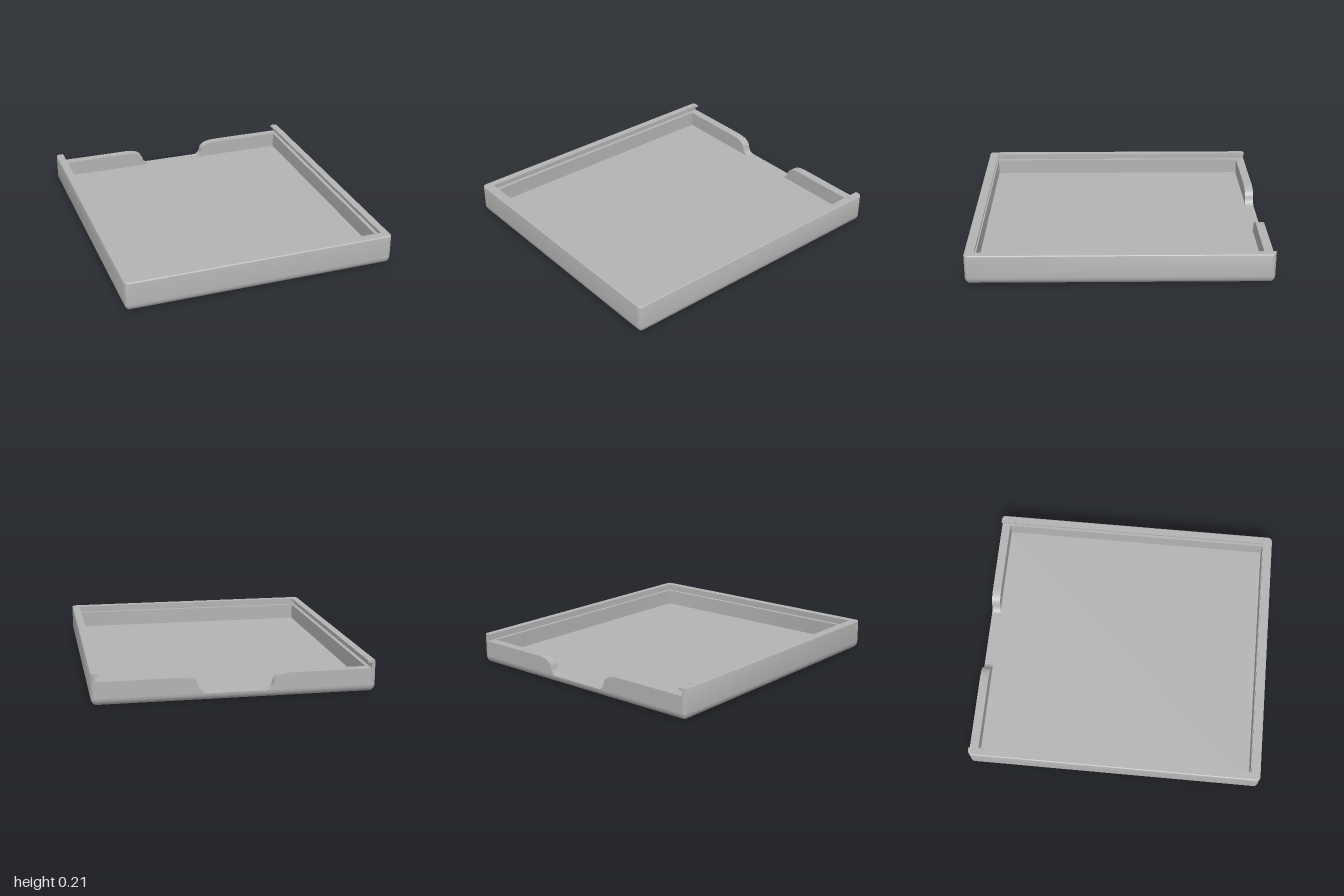
import * as THREE from 'three';
import { toCreasedNormals } from 'three/addons/utils/BufferGeometryUtils.js';

const HX = 0.915, HZ = 1, R = 0.03;          // outer half sizes, vertical corner radius
const FLOOR = 0.05, LEDGE = 0.16, LIP = 0.195, TOP = 0.21;
const WALL = 0.055, SLOT = 0.03, FRONT = 1.18; // front wall is slightly thicker
const STEPS = 6;

// Quarter arc in plan, starting at quadrant q (0 is the +x to +z corner)
function corner(cx, cz, r, q) {
  return Array.from({ length: STEPS + 1 }, (_, k) => {
    const t = (q + k / STEPS) * Math.PI / 2;
    return [cx + r * Math.cos(t), cz + r * Math.sin(t)];
  });
}

// Closed rounded rectangle, inset from the outer outline
function ring(inset) {
  const r = Math.max(R - inset, 0.002), x = HX - inset - r, z = HZ - inset - r;
  return [...corner(x, z, r, 0), ...corner(-x, z, r, 1), ...corner(-x, -z, r, 2), ...corner(x, -z, r, 3)];
}

// Open U outline along both sides and the front, with rounded rear ends
function uPath(d) {
  const r = Math.max(R - d, 0.002), half = [];
  for (let k = 0; k <= STEPS; k++) {
    const t = (1 - k / STEPS) * Math.PI / 2;
    half.push([HX - Math.max(d, R * (1 - Math.cos(t))), -HZ + R * (1 - Math.sin(t))]);
  }
  const x = HX - d - r, z = HZ - d * FRONT - r;
  const mirrored = half.map(([a, b]) => [-a, b]).reverse();
  return [...half, ...corner(x, z, r, 0), ...corner(-x, z, r, 1), ...mirrored];
}

// Skin between outlines given as { path, y }
function skin(rows) {
  const n = rows[0].path.length, pos = [], idx = [];
  rows.forEach(({ path, y }) => path.forEach(([x, z]) => pos.push(x, y, z)));
  for (let j = 0; j < rows.length - 1; j++) {
    for (let i = 0; i < n - 1; i++) {
      const a = j * n + i, b = a + 1, c = a + n, d = c + 1;
      idx.push(a, c, b, b, c, d);
    }
  }
  const g = new THREE.BufferGeometry();
  g.setAttribute('position', new THREE.Float32BufferAttribute(pos, 3));
  g.setIndex(idx);
  return toCreasedNormals(g, 0.6);
}

// Horizontal face, looking up or down, with optional round holes
function flat(path, y, up, holes = []) {
  const s = up ? -1 : 1;
  const shape = new THREE.Shape(path.map(([x, z]) => new THREE.Vector2(x, s * z)));
  holes.forEach(([x, z, r]) => shape.holes.push(new THREE.Path().absarc(x, s * z, r, 0, Math.PI * 2, true)));
  return new THREE.ShapeGeometry(shape, 16).rotateX(s * Math.PI / 2).translate(0, y, 0);
}

export function createModel() {
  const group = new THREE.Group();
  const grey = new THREE.MeshStandardMaterial({ color: 0xb3b3b3, side: THREE.DoubleSide });
  grey.name = 'grey plastic';
  const add = (name, geometry) => {
    const mesh = new THREE.Mesh(geometry, grey);
    mesh.name = name;
    group.add(mesh);
    return mesh;
  };

  // Floor slab with a rounded lower edge
  const rows = [];
  for (let k = 0; k <= 8; k++) {
    const t = k / 8 * Math.PI / 2;
    const path = ring(FLOOR * (1 - Math.sin(t)));
    rows.push({ path: [...path, path[0]], y: FLOOR * (1 - Math.cos(t)) });
  }
  add('floorEdge', skin(rows));
  add('underside', flat(ring(FLOOR), 0, false));
  add('floor', flat(ring(0), FLOOR, true));

  // Outer face of the side and front walls, softened at the top
  const soft = 0.008;
  const outer = [{ path: uPath(0), y: FLOOR }];
  for (let k = 0; k <= 4; k++) {
    const t = k / 4 * Math.PI / 2;
    outer.push({ path: uPath(soft * (1 - Math.cos(t))), y: TOP - soft * (1 - Math.sin(t)) });
  }
  add('outerWall', skin(outer));

  // Lip edge, then the lid slot, its ledge and the inner wall
  const inner = uPath(WALL), slot = uPath(SLOT);
  add('lipEdge', skin([{ path: inner, y: TOP }, { path: inner, y: LIP }]));
  add('lidSlot', skin([
    { path: slot, y: LIP }, { path: slot, y: LEDGE },
    { path: inner, y: LEDGE }, { path: inner, y: FLOOR },
  ]));

  // Lip faces with a small catch hole near each rear end
  const holes = [-1, 1].map((s) => [s * 0.87, -0.9, 0.008]);
  const band = (d) => [...uPath(d), ...[...inner].reverse()];
  add('lipTop', flat(band(soft), TOP, true, holes));
  add('lipUnderside', flat(band(SLOT), LIP, false, holes));

  for (const s of [-1, 1]) {
    const side = s > 0 ? 'left' : 'right';
    const sleeve = new THREE.CylinderGeometry(0.008, 0.008, TOP - LIP, 16, 1, true);
    add(side + 'CatchHole', sleeve).position.set(s * 0.87, (TOP + LIP) / 2, -0.9);
    const end = new THREE.PlaneGeometry(WALL - R, TOP - LIP).rotateY(Math.PI);
    add(side + 'LipEnd', end).position.set(s * (HX - (WALL + R) / 2), (TOP + LIP) / 2, -HZ);

    // Half of the lower back wall, sweeping down into the finger notch
    const shape = new THREE.Shape();
    shape.moveTo(s * 0.2, FLOOR);
    shape.lineTo(s * (HX - R), FLOOR);
    shape.lineTo(s * (HX - R), LEDGE);
    shape.lineTo(s * 0.38, LEDGE);
    shape.bezierCurveTo(s * 0.3, LEDGE, s * 0.25, 0.145, s * 0.243, 0.1);
    shape.bezierCurveTo(s * 0.238, 0.075, s * 0.225, 0.055, s * 0.2, FLOOR);
    const wall = new THREE.ExtrudeGeometry(shape, { depth: 0.06, bevelEnabled: false, curveSegments: 12 });
    add(side + 'BackWall', toCreasedNormals(wall.translate(0, 0, -HZ), 0.6));
  }
  return group;
}
